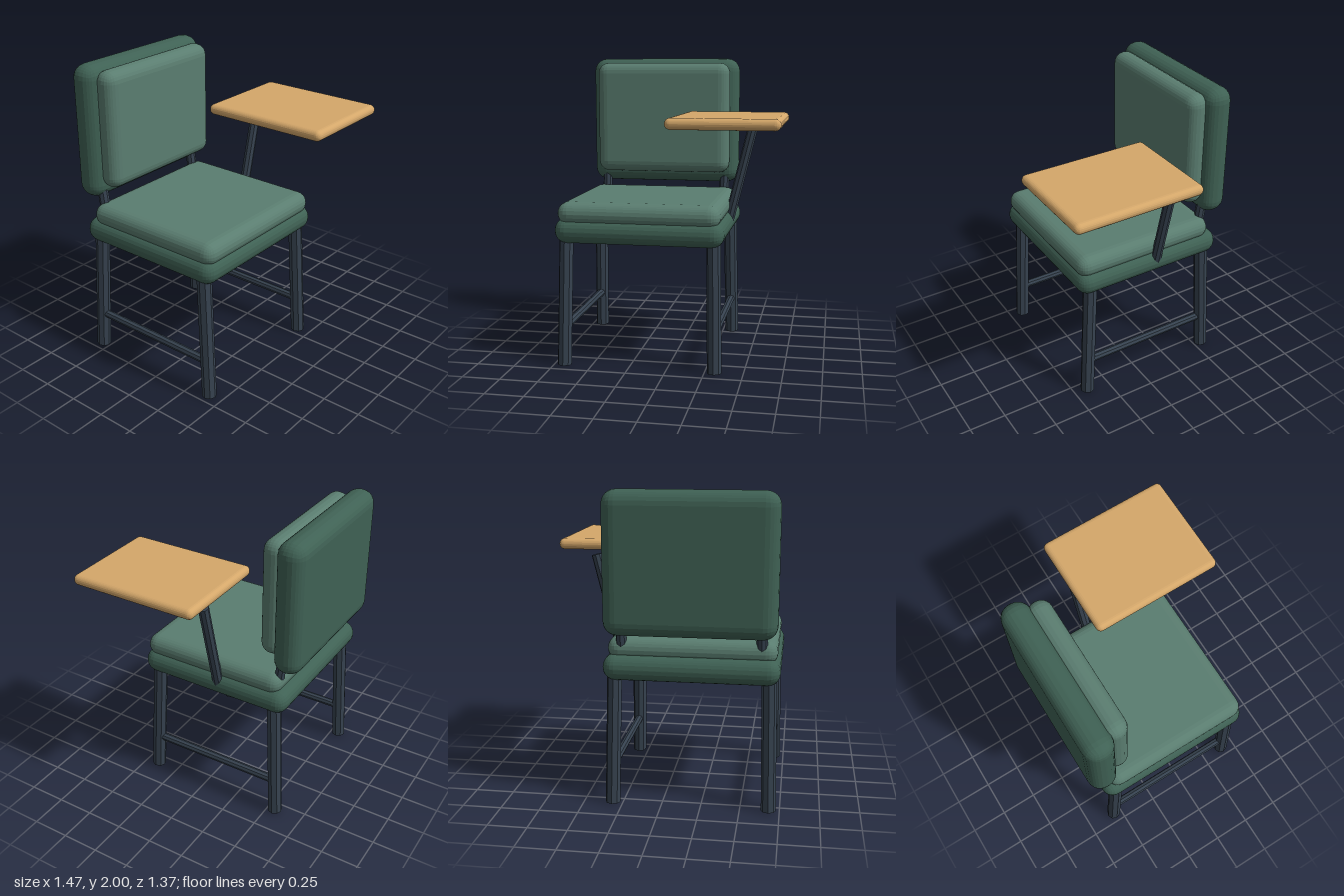
import * as THREE from 'three';
import { RoundedBoxGeometry } from 'three/addons/geometries/RoundedBoxGeometry.js';

const material = (color) => new THREE.MeshStandardMaterial({ color, flatShading: true });

export function createModel() {
  const group = new THREE.Group();
  const shell = material(0x3f6154);
  const cushion = material(0x5a7d70);
  const wood = material(0xd4a76a);
  const metal = material(0x36424f);

  const add = (name, geometry, mat) => {
    const mesh = new THREE.Mesh(geometry, mat);
    mesh.name = name;
    group.add(mesh);
    return mesh;
  };

  // Rounded slab given by its lowest and highest corners
  const slab = (name, min, max, radius, mat) => {
    const [w, h, d] = max.map((v, i) => v - min[i]);
    const mesh = add(name, new RoundedBoxGeometry(w, h, d, 3, radius), mat);
    mesh.position.set(...max.map((v, i) => (v + min[i]) / 2));
  };

  // Eight-sided rod between two points
  const rod = (name, from, to, radius) => {
    const a = new THREE.Vector3(...from);
    const b = new THREE.Vector3(...to);
    const axis = b.clone().sub(a);
    const mesh = add(name, new THREE.CylinderGeometry(radius, radius, axis.length(), 8), metal);
    mesh.position.copy(a).add(b).multiplyScalar(0.5);
    mesh.quaternion.setFromUnitVectors(new THREE.Vector3(0, 1, 0), axis.normalize());
  };

  // Seat and backrest, each a firm base with a softer pad
  slab('seatBase', [-0.735, 0.815, -0.61], [0.37, 0.98, 0.455], 0.08, shell);
  slab('seatCushion', [-0.715, 0.935, -0.555], [0.345, 1.085, 0.445], 0.074, cushion);
  slab('backrest', [-0.715, 1.115, -0.685], [0.35, 2, -0.495], 0.09, shell);
  slab('backrestPad', [-0.655, 1.195, -0.535], [0.295, 1.97, -0.38], 0.075, cushion);

  // Splayed legs, side stretchers and back posts, mirrored about the seat centre
  const centre = -0.183;
  for (const [side, s] of [['left', 1], ['right', -1]]) {
    const x = (offset) => centre + s * offset;
    rod(`${side}FrontLeg`, [x(0.498), 0.002, 0.405], [x(0.483), 0.85, 0.36], 0.047);
    rod(`${side}RearLeg`, [x(0.498), 0.002, -0.555], [x(0.483), 0.85, -0.515], 0.047);
    rod(`${side}Stretcher`, [x(0.493), 0.255, 0.39], [x(0.493), 0.255, -0.54], 0.027);
    rod(`${side}BackPost`, [x(0.435), 0.9, -0.5], [x(0.435), 1.25, -0.55], 0.034);
  }

  // Writing tablet and its slanted support
  rod('tabletSupport', [0.335, 0.9, -0.12], [0.493, 1.54, -0.12], 0.034);
  slab('writingTablet', [0.04, 1.575, -0.187], [0.73, 1.645, 0.683], 0.034, wood);

  return group;
}
